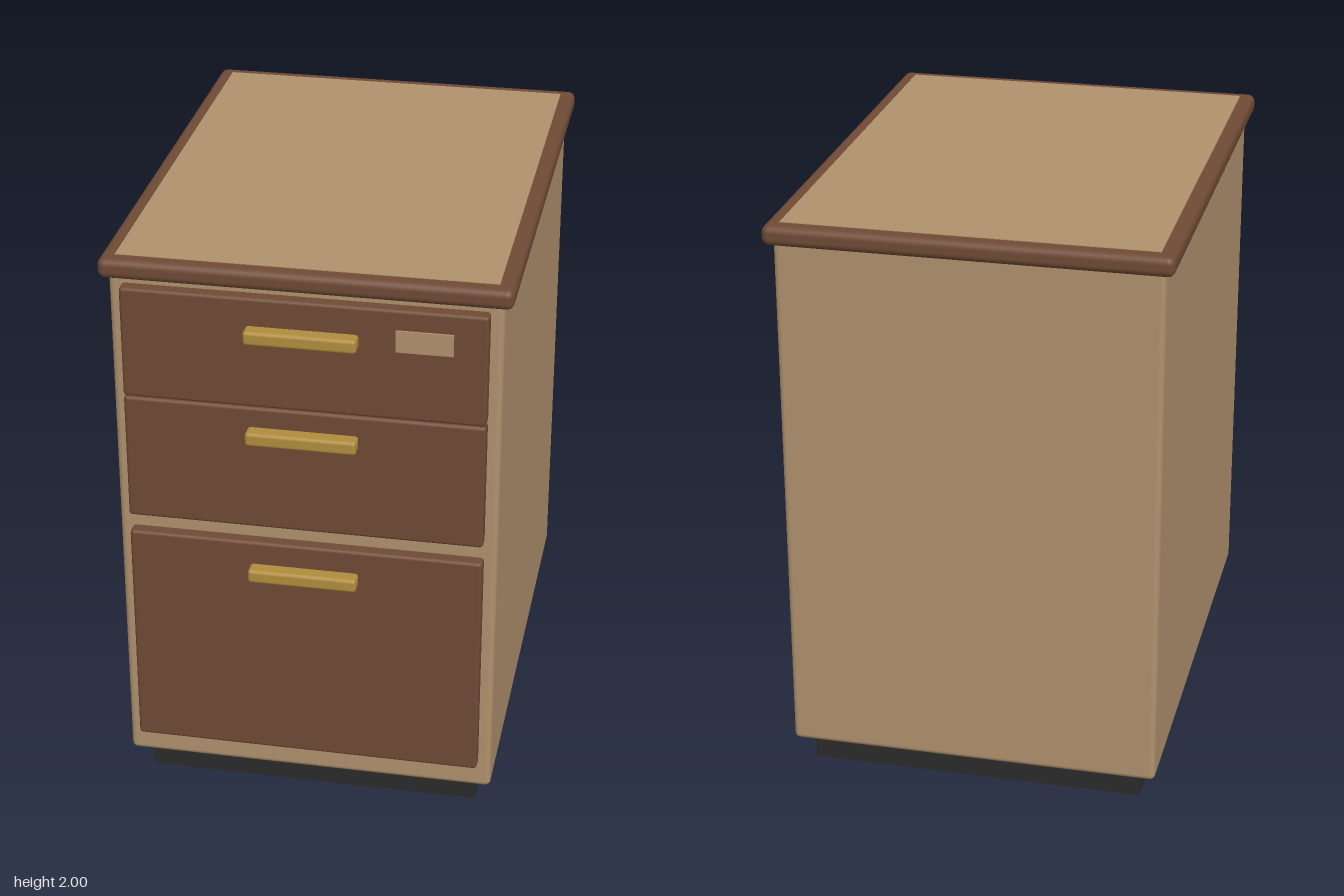
import * as THREE from 'three';
import { RoundedBoxGeometry } from 'three/addons/geometries/RoundedBoxGeometry.js';

export function createModel() {
  const model = new THREE.Group();
  model.name = 'drawerPedestal';

  const material = (name, color) => {
    const m = new THREE.MeshStandardMaterial({ color });
    m.name = name;
    return m;
  };
  const tan = material('tan laminate', 0xb0916d);
  const brown = material('brown wood', 0x6f4a35);
  const brass = material('brass', 0xb08d3e);
  const black = material('black plinth', 0x2b2b2b);

  // Box given by its extents on each axis; radius 0 keeps the edges sharp
  const box = (name, mat, [x0, x1], [y0, y1], [z0, z1], radius = 0, parent = model) => {
    const size = [x1 - x0, y1 - y0, z1 - z0];
    const geometry = radius
      ? new RoundedBoxGeometry(...size, 3, radius)
      : new THREE.BoxGeometry(...size);
    const mesh = new THREE.Mesh(geometry, mat);
    mesh.name = name;
    mesh.position.set((x0 + x1) / 2, (y0 + y1) / 2, (z0 + z1) / 2);
    parent.add(mesh);
    return mesh;
  };

  // Recessed plinth, carcass and overhanging top
  box('plinth', black, [-0.575, 0.575], [0, 0.12], [-0.82, 0.76]);
  box('carcass', tan, [-0.635, 0.635], [0.1, 1.95], [-0.88, 0.82], 0.02);
  box('topSlab', brown, [-0.665, 0.665], [1.93, 1.998], [-0.91, 0.85], 0.025);
  box('topInlay', tan, [-0.615, 0.615], [1.993, 2], [-0.86, 0.8]);

  // Drawers: bottom, top and handle centre heights
  const drawers = [
    ['upperDrawer', 1.526, 1.912, 1.793],
    ['middleDrawer', 1.08, 1.524, 1.431],
    ['fileDrawer', 0.2, 1.02, 0.915],
  ];
  for (const [name, y0, y1, handleY] of drawers) {
    const drawer = new THREE.Group();
    drawer.name = name;
    model.add(drawer);
    box('drawerFront', brown, [-0.592, 0.592], [y0, y1], [0.805, 0.863], 0.012, drawer);
    box('handle', brass, [-0.182, 0.182], [handleY - 0.024, handleY + 0.024], [0.855, 0.913], 0.012, drawer);
  }

  // Label plate on the upper drawer
  box('labelPlate', tan, [0.3, 0.484], [1.77, 1.844], [0.861, 0.87]);

  return model;
}
